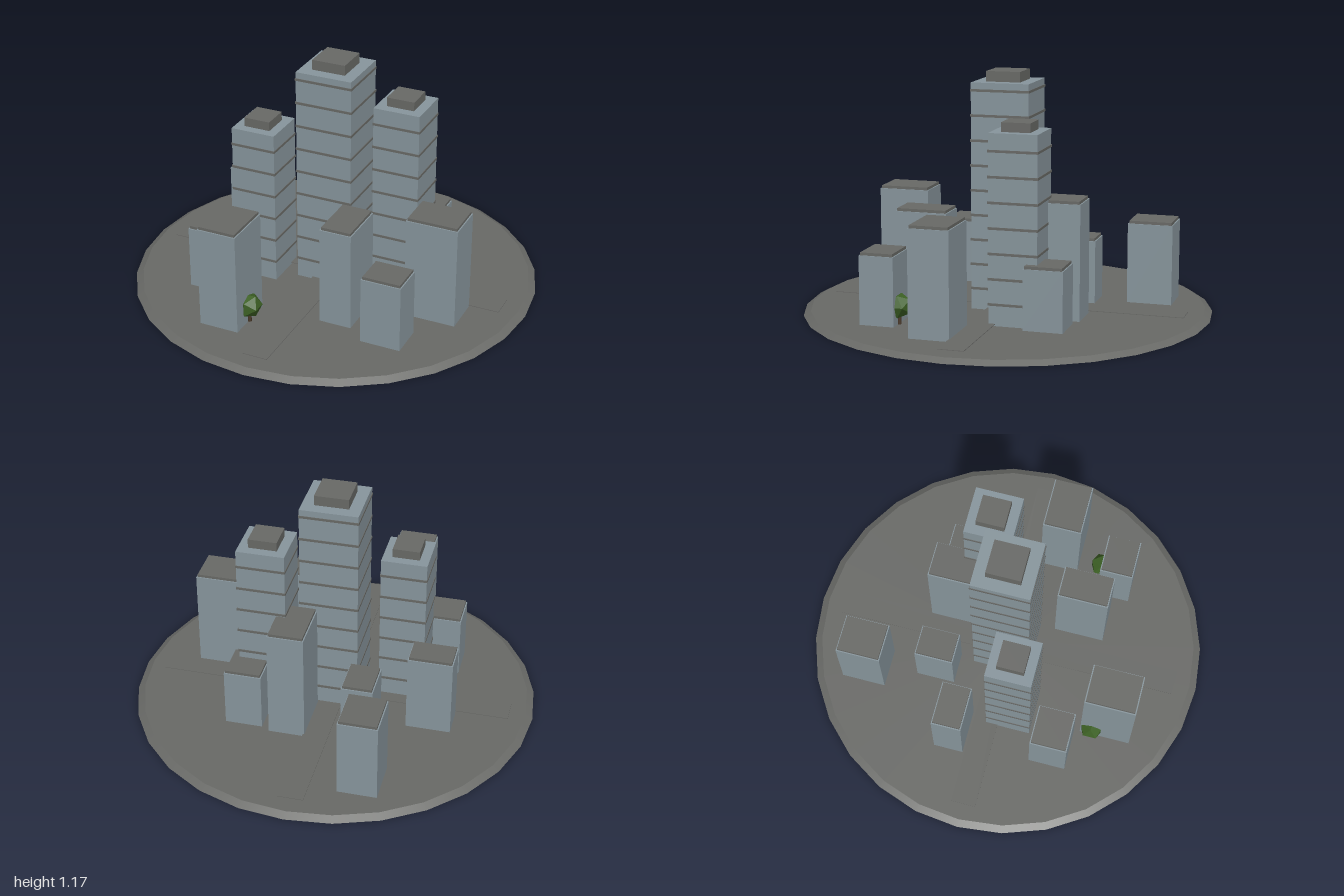
import * as THREE from 'three';

const mat = (name, color, flatShading = false) => {
  const m = new THREE.MeshStandardMaterial({ color, flatShading });
  m.name = name;
  return m;
};

export function createModel() {
  const city = new THREE.Group();
  city.name = 'city';
  const wall = mat('blueGreyWall', 0x87959c);
  const dark = mat('darkGrey', 0x686966);
  const green = mat('leafGreen', 0x3c6024, true);
  const brown = mat('barkBrown', 0x4a3a2a);
  const ground = 0.02;

  const add = (parent, name, geometry, material, x, y, z) => {
    const mesh = new THREE.Mesh(geometry, material);
    mesh.name = name;
    mesh.position.set(x, y, z);
    parent.add(mesh);
    return mesh;
  };
  // Box given by its centre in plan and its bottom and top heights
  const box = (parent, name, material, x, z, w, d, y0, y1) =>
    add(parent, name, new THREE.BoxGeometry(w, y1 - y0, d), material, x, (y0 + y1) / 2, z);
  const group = (name) => {
    const g = new THREE.Group();
    g.name = name;
    city.add(g);
    return g;
  };

  // Round base with a sloping rim, crossed by two roads
  add(city, 'base', new THREE.CylinderGeometry(0.965, 1, ground, 28), dark, 0, ground / 2, 0);
  box(city, 'roadAcross', dark, 0, 0, 1.77, 0.124, 0.028, 0.031);
  box(city, 'roadAlong', dark, 0, 0, 0.124, 1.77, 0.029, 0.032);

  // Towers with floor bands: x, z, width, wall top, roof box width, roof top
  const towers = [
    [0, 0, 0.285, 1.125, 0.168, 1.175],
    [0.3, -0.147, 0.236, 0.93, 0.14, 0.975],
    [-0.333, 0.115, 0.225, 0.81, 0.133, 0.855],
  ];
  for (const [x, z, w, top, rw, roofTop] of towers) {
    const g = group('tower');
    box(g, 'towerWalls', wall, x, z, w, w, ground, top);
    box(g, 'roofBox', dark, x, z, rw, rw, top, roofTop);
    for (let y = 0.123; y < top - 0.03; y += 0.1206) {
      box(g, 'floorBand', dark, x, z, w + 0.006, w + 0.006, y - 0.006, y + 0.006);
    }
  }

  // Low blocks with a thin inset roof: x range, z range, height
  const blocks = [
    [-0.38, -0.2, -0.77, -0.56, 0.43],
    [-0.273, -0.13, -0.402, -0.219, 0.345],
    [-0.62, -0.412, -0.217, -0.08, 0.43],
    [0.06, 0.227, -0.415, -0.162, 0.595],
    [0.28, 0.452, -0.392, -0.212, 0.325],
    [0.481, 0.727, 0.063, 0.248, 0.545],
    [0.14, 0.288, 0.224, 0.467, 0.527],
    [0.385, 0.572, 0.389, 0.546, 0.367],
    [-0.575, -0.386, 0.266, 0.44, 0.35],
    [-0.363, -0.177, 0.481, 0.724, 0.542],
  ];
  for (const [x0, x1, z0, z1, h] of blocks) {
    const g = group('block');
    const x = (x0 + x1) / 2, z = (z0 + z1) / 2, w = x1 - x0, d = z1 - z0;
    box(g, 'blockWalls', wall, x, z, w + 0.012, d + 0.012, ground, h - 0.014);
    box(g, 'blockRoof', dark, x, z, w, d, h - 0.014, h);
  }

  // Small faceted trees
  for (const [x, z] of [[-0.358, 0.53], [-0.166, 0.615], [0.51, 0.378]]) {
    const g = group('tree');
    add(g, 'trunk', new THREE.CylinderGeometry(0.008, 0.01, 0.06, 6), brown, x, 0.05, z);
    add(g, 'crown', new THREE.IcosahedronGeometry(0.063, 0), green, x, 0.109, z);
  }
  return city;
}
